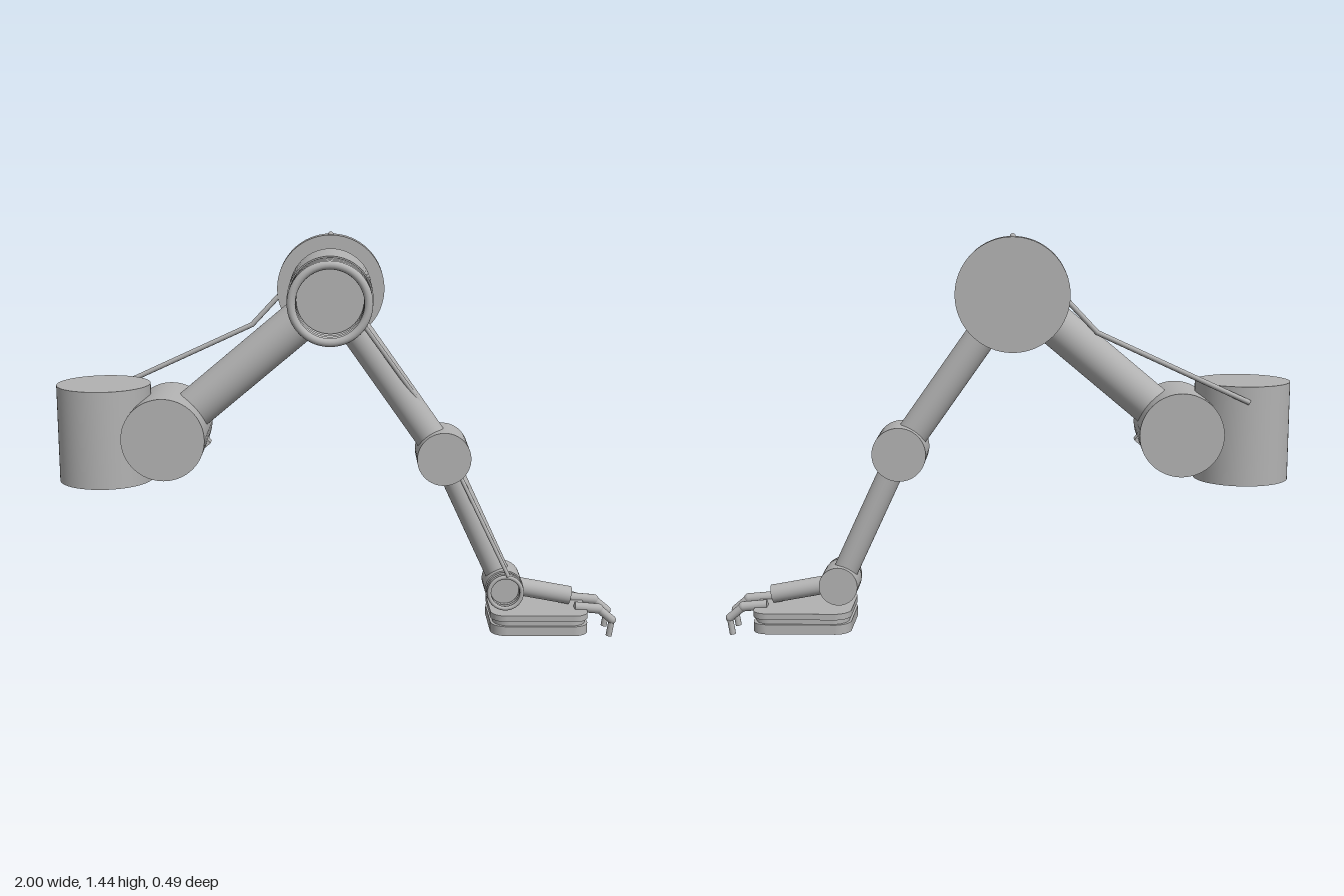
import * as THREE from 'three';

const Z = -0.017; // depth of the arm's centre line
const V = (x, y, z = Z) => new THREE.Vector3(x, y, z);

export function createModel() {
  const model = new THREE.Group();
  model.name = 'roboticArm';
  const metal = new THREE.MeshStandardMaterial({ color: 0xb2b2b2 });
  metal.name = 'grey metal';

  function add(name, geometry, x = 0, y = 0, z = 0) {
    const mesh = new THREE.Mesh(geometry, metal);
    mesh.name = name;
    mesh.position.set(x, y, z);
    model.add(mesh);
    return mesh;
  }

  // Cylinder between two points
  function rod(name, a, b, r, segments = 40) {
    const dir = b.clone().sub(a);
    const mesh = add(name, new THREE.CylinderGeometry(r, r, dir.length(), segments));
    mesh.position.copy(a).lerp(b, 0.5);
    mesh.quaternion.setFromUnitVectors(V(0, 1, 0), dir.normalize());
    return mesh;
  }

  // Chain of rods with rounded joints
  function chain(name, points, radii, segments = 12) {
    for (let i = 0; i < points.length - 1; i++) {
      rod(name, points[i], points[i + 1], radii[i], segments);
      if (i > 0) add(name + 'Joint', new THREE.SphereGeometry(radii[i - 1], 16, 12), ...points[i].toArray());
    }
  }

  // Joint housing lying along z
  const housing = (name, c, r, z0, z1) => rod(name, V(c.x, c.y, z0), V(c.x, c.y, z1), r, 64);

  // Hollow stack of rings in front of a joint
  function bellows(name, c, r, tube, depths) {
    for (const z of depths) add(name, new THREE.TorusGeometry(r - tube, tube, 14, 56), c.x, c.y, z);
  }

  const shoulder = V(-0.615, 0.755), elbow = V(-0.035, 1.24);
  const midJoint = V(0.365, 0.67), wrist = V(0.59, 0.185);

  // Base drum
  add('baseDrum', new THREE.CylinderGeometry(0.165, 0.165, 0.345, 64), -0.837, 0.7525, Z);

  // Shoulder with a small bracket whose corners break through its underside
  housing('shoulderHousing', shoulder, 0.145, -0.177, 0.143);
  const angle = Math.atan2(elbow.y - shoulder.y, elbow.x - shoulder.x);
  const bracket = add('shoulderBracket', new THREE.BoxGeometry(0.184, 0.1, 0.05),
    shoulder.x + Math.sin(angle) * 0.08, shoulder.y - Math.cos(angle) * 0.08, Z);
  bracket.rotation.z = angle;

  // Arm segments
  rod('upperArm', shoulder, elbow, 0.073, 48);
  rod('forearm', elbow, midJoint, 0.055);
  rod('lowerForearm', midJoint, wrist, 0.044);
  rod('handStem', wrist, V(0.837, 0.139), 0.033, 32);

  // Elbow housing, ring stack and rear disc
  housing('elbowHousing', elbow, 0.148, -0.153, 0.118);
  bellows('elbowRing', elbow, 0.144, 0.0145, [0.13, 0.163, 0.197, 0.231]);
  housing('rearDisc', elbow, 0.193, -0.245, -0.182);
  add('discKnob', new THREE.SphereGeometry(0.01, 16, 12), elbow.x, 1.433, -0.21);

  // Lower joints
  housing('midJointHousing', midJoint, 0.095, -0.106, 0.072);
  housing('wristHousing', wrist, 0.069, -0.083, 0.052);
  bellows('wristRing', wrist, 0.066, 0.0075, [0.059, 0.0755, 0.092]);

  // Cables
  chain('rearCable', [V(-0.84, 0.872, -0.188), V(-0.32, 1.11, -0.188), V(-0.17, 1.27, -0.196)], [0.009, 0.009]);
  rod('forearmCable', V(0.06, 1.175, 0.077), V(0.355, 0.755, -0.018), 0.008, 12);
  rod('wristCable', V(0.415, 0.62, 0.012), V(0.598, 0.25, 0.107), 0.007, 12);

  // Foot: two rounded slabs with a recessed layer between
  function slab(name, inset, y0, y1) {
    const w = 0.175 - inset, d = 0.143 - inset, r = 0.055;
    const s = new THREE.Shape();
    s.absarc(w - r, d - r, r, 0, Math.PI / 2);
    s.absarc(r - w, d - r, r, Math.PI / 2, Math.PI);
    s.absarc(r - w, r - d, r, Math.PI, Math.PI * 1.5);
    s.absarc(w - r, r - d, r, Math.PI * 1.5, Math.PI * 2);
    const geometry = new THREE.ExtrudeGeometry(s, { depth: y1 - y0, bevelEnabled: false, curveSegments: 12 });
    geometry.rotateX(-Math.PI / 2);
    add(name, geometry, 0.715, y0, -0.02);
  }
  slab('footBottom', 0, 0.033, 0.068);
  slab('footGroove', 0.009, 0.068, 0.086);
  slab('footTop', 0, 0.086, 0.108);

  // Two curled fingers
  for (const z of [-0.068, 0.036]) {
    chain('finger', [V(0.848, 0.114, z), V(0.935, 0.106, z), V(0.985, 0.064, z), V(0.976, 0.003, z)],
      [0.018, 0.015, 0.011], 16);
  }
  return model;
}
